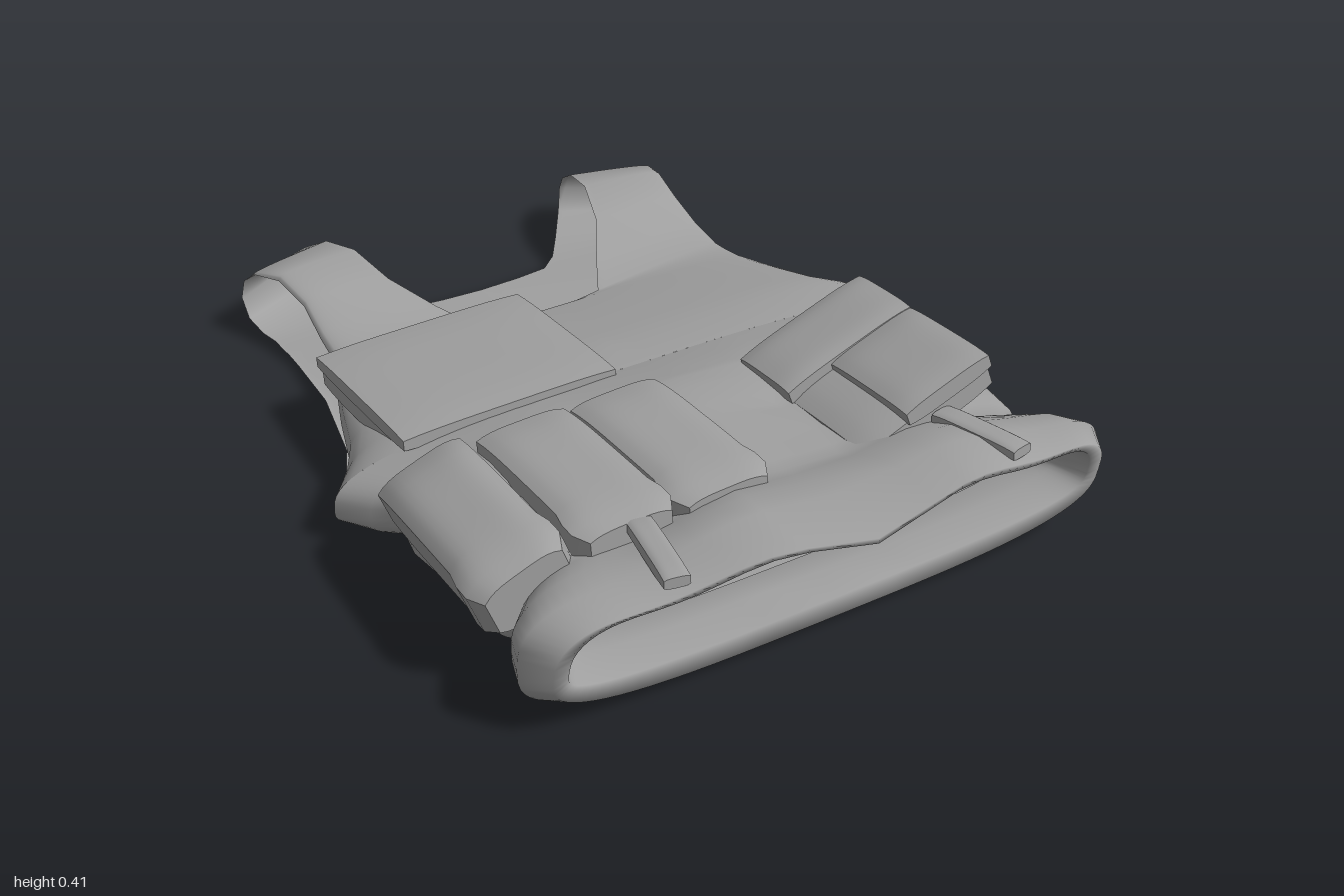
import * as THREE from 'three';

const cloth = new THREE.MeshStandardMaterial({ color: 0xa0a0a0, side: THREE.DoubleSide });

// Smooth surface through rows holding equal numbers of [x, y, z] points
function loft(rows) {
  const n = rows[0].length, index = [];
  for (let r = 0; r < rows.length - 1; r++) {
    for (let i = 0; i < n - 1; i++) {
      const a = r * n + i, b = a + n;
      index.push(a, b, a + 1, a + 1, b, b + 1);
    }
  }
  const geo = new THREE.BufferGeometry();
  geo.setAttribute('position', new THREE.Float32BufferAttribute(rows.flat(2), 3));
  geo.setIndex(index);
  geo.computeVertexNormals();
  return geo;
}

function add(parent, name, geo) {
  const mesh = new THREE.Mesh(geo, cloth);
  mesh.name = name;
  parent.add(mesh);
  return mesh;
}

// Cross-fall of the fabric from the middle (t = 0) to the side (t = 1)
const fall = t => Math.pow(Math.max(0, 1 - Math.pow(t, 3.33)), 0.35);
const lerp = THREE.MathUtils.lerp;

// Waist: a flattened sleeve, ribbed at the sides, whose hem turns inwards.
// Rows are z, half width, top height, side height, bottom height
function waistGeometry() {
  const stations = [
    [0.08, 0.77, 0.21, 0.08, 0], [0.16, 0.72, 0.235, 0.09, 0], [0.225, 0.66, 0.25, 0.11, 0],
    [0.25, 0.685, 0.255, 0.12, 0], [0.31, 0.695, 0.26, 0.12, 0], [0.385, 0.685, 0.26, 0.12, 0],
    [0.42, 0.635, 0.255, 0.12, 0], [0.45, 0.665, 0.26, 0.12, 0], [0.54, 0.68, 0.26, 0.12, 0],
    [0.625, 0.665, 0.265, 0.12, 0], [0.66, 0.615, 0.265, 0.13, 0],
    [0.70, 0.65, 0.28, 0.14, 0], [0.76, 0.7, 0.305, 0.15, 0], [0.83, 0.725, 0.315, 0.16, 0],
    [0.89, 0.68, 0.312, 0.16, 0.02], [0.89, 0.645, 0.3, 0.16, 0.07], [0.81, 0.62, 0.295, 0.16, 0.1],
    [0.72, 0.6, 0.265, 0.15, 0.07],
  ];
  const N = 72;
  return loft(stations.map(([z, w, h, mid, low], k) => {
    const row = [];
    for (let i = 0; i <= N; i++) {
      const a = (i / N) * Math.PI * 2;
      const c = Math.cos(a), s = Math.sin(a);
      const u = Math.sign(c) * Math.pow(Math.abs(c), 0.6);
      const f = Math.pow(Math.abs(s), 0.7);
      let y = lerp(mid, s > 0 ? h : low, f), dz = 0;
      // soft folds on the front cloth, and a front hem reaching further down
      if (s > 0.02) {
        y += 0.014 * f * Math.sin(u * 9 + z * 5) * Math.min(1, k / 4);
        if (z > 0.85) dz = f * (0.03 + 0.07 * Math.pow(1 - Math.abs(u), 1.4));
      } else if (z > 0.85) dz = -0.02 * f;
      row.push([w * u, y, z + dz]);
    }
    return row;
  }));
}

// Chest, over the shoulder and down the back: inner x, y, z then outer x, y, z
const SHOULDER = [
  [0, 0.21, 0.08, 0.77, 0.08, 0.08],
  [0, 0.205, -0.02, 0.70, 0.15, -0.02],
  [0, 0.185, -0.12, 0.645, 0.14, -0.12],
  [0, 0.16, -0.24, 0.605, 0.125, -0.25],
  [0, 0.13, -0.36, 0.58, 0.115, -0.36],
  [0.08, 0.125, -0.365, 0.575, 0.11, -0.41],
  [0.17, 0.12, -0.39, 0.57, 0.11, -0.46],
  [0.23, 0.14, -0.50, 0.565, 0.13, -0.55],
  [0.30, 0.18, -0.62, 0.56, 0.165, -0.64],
  [0.335, 0.215, -0.74, 0.565, 0.19, -0.73],
  [0.36, 0.19, -0.86, 0.58, 0.18, -0.81],
  [0.385, 0.135, -0.95, 0.59, 0.14, -0.86],
  [0.40, 0.08, -0.995, 0.595, 0.085, -0.875],
  [0.37, 0.035, -0.95, 0.59, 0.035, -0.85],
  [0.31, 0.012, -0.86, 0.575, 0.012, -0.80],
  [0.25, 0.012, -0.77, 0.565, 0.015, -0.74],
  [0.20, 0.012, -0.725, 0.565, 0.015, -0.70],
  [0.11, 0.015, -0.71, 0.565, 0.02, -0.66],
  [0, 0.015, -0.705, 0.565, 0.02, -0.60],
  [0, 0.025, -0.42, 0.58, 0.035, -0.40],
  [0, 0.01, -0.18, 0.625, 0.035, -0.18],
  [0, 0, -0.02, 0.70, 0.04, -0.02],
  [0, 0, 0.08, 0.77, 0.08, 0.08],
];

// On the right the chest pouch drags the armhole edge down and inwards
const SAG = [0, 0.095, 0.085, 0.065, 0.05, 0.04, 0.03, 0.02, 0.01];
const TUCK = [0, 0, 0, 0, 0.015, 0.04, 0.05, 0.045, 0.04, 0.02];

function shoulderGeometry(side) {
  const N = 20;
  return loft(SHOULDER.map(([xi, yi, zi, xo, yo, zo], k) => {
    const edgeY = side > 0 ? yo : yo - (SAG[k] ?? 0);
    const edgeX = side > 0 ? xo : xo - (TUCK[k] ?? 0);
    const row = [];
    for (let i = 0; i <= N; i++) {
      const t = 1 - Math.pow(1 - i / N, 1.5);
      row.push([side * lerp(xi, edgeX, t), lerp(edgeY, yi, fall(t)), lerp(zi, zo, t)]);
    }
    return row;
  }));
}

// Stuffed pouch: a pillowed box, flared near its lower end and drawn in at its tip
function pouch(parent, name, [w, h, d], pos, rot = [0, 0, 0], flare = 0) {
  const geo = new THREE.BoxGeometry(w, h, d, 12, 2, 12);
  const p = geo.attributes.position;
  for (let i = 0; i < p.count; i++) {
    const u = Math.abs(p.getX(i)) / w * 2, v = p.getZ(i) / d * 2;
    p.setY(i, p.getY(i) * (1 - 0.3 * Math.pow(u, 4)) * (1 - 0.3 * Math.pow(v, 4)));
    if (v > 0.9) p.setX(i, p.getX(i) * (1 - flare));
    else if (v > 0.6) p.setX(i, p.getX(i) * (1 + flare * 0.6));
  }
  geo.computeVertexNormals();
  const mesh = add(parent, name, geo);
  mesh.position.set(...pos);
  mesh.rotation.set(...rot);
}

export function createModel() {
  const vest = new THREE.Group();
  vest.name = 'vest';

  add(vest, 'waist', waistGeometry());
  add(vest, 'leftShoulder', shoulderGeometry(1));
  add(vest, 'rightShoulder', shoulderGeometry(-1));

  // Large chest pouch with its flap
  const chest = new THREE.Group();
  chest.name = 'chestPouch';
  chest.position.set(-0.34, 0.165, -0.125);
  chest.rotation.set(-0.08, 0, 0.02);
  vest.add(chest);
  pouch(chest, 'chestPouchBody', [0.52, 0.1, 0.45], [0, 0, 0]);
  pouch(chest, 'chestPouchFlap', [0.535, 0.05, 0.47], [0, 0.032, 0]);

  // Row of magazine pouches on the right of the belly
  for (const x of [-0.395, -0.165]) {
    pouch(vest, 'magazinePouch', [0.215, 0.11, 0.46], [x, 0.26, 0.48], [-0.05, 0, 0.05], 0.12);
  }
  pouch(vest, 'sideMagazinePouch', [0.21, 0.17, 0.46], [-0.62, 0.215, 0.47], [-0.03, 0, 0.36], 0.12);

  // Utility pouch on the left, standing off the cloth at a slant
  const utility = new THREE.Group();
  utility.name = 'utilityPouch';
  utility.position.set(0.345, 0.3, 0.475);
  utility.rotation.set(-0.07, 0, 0.34);
  vest.add(utility);
  pouch(utility, 'utilityPouchBase', [0.34, 0.09, 0.45], [0, -0.025, 0]);
  pouch(utility, 'utilityPouchFlap', [0.35, 0.07, 0.19], [0, 0.02, -0.13]);
  pouch(utility, 'utilityPouchFront', [0.23, 0.06, 0.27], [0.06, 0.02, 0.1]);

  // Straps over the front hem
  for (const side of [1, -1]) {
    pouch(vest, 'hemStrap', [0.055, 0.035, 0.22], [side * 0.4, 0.305, 0.81], [-0.06, side * 0.2, 0]);
  }

  return vest;
}
